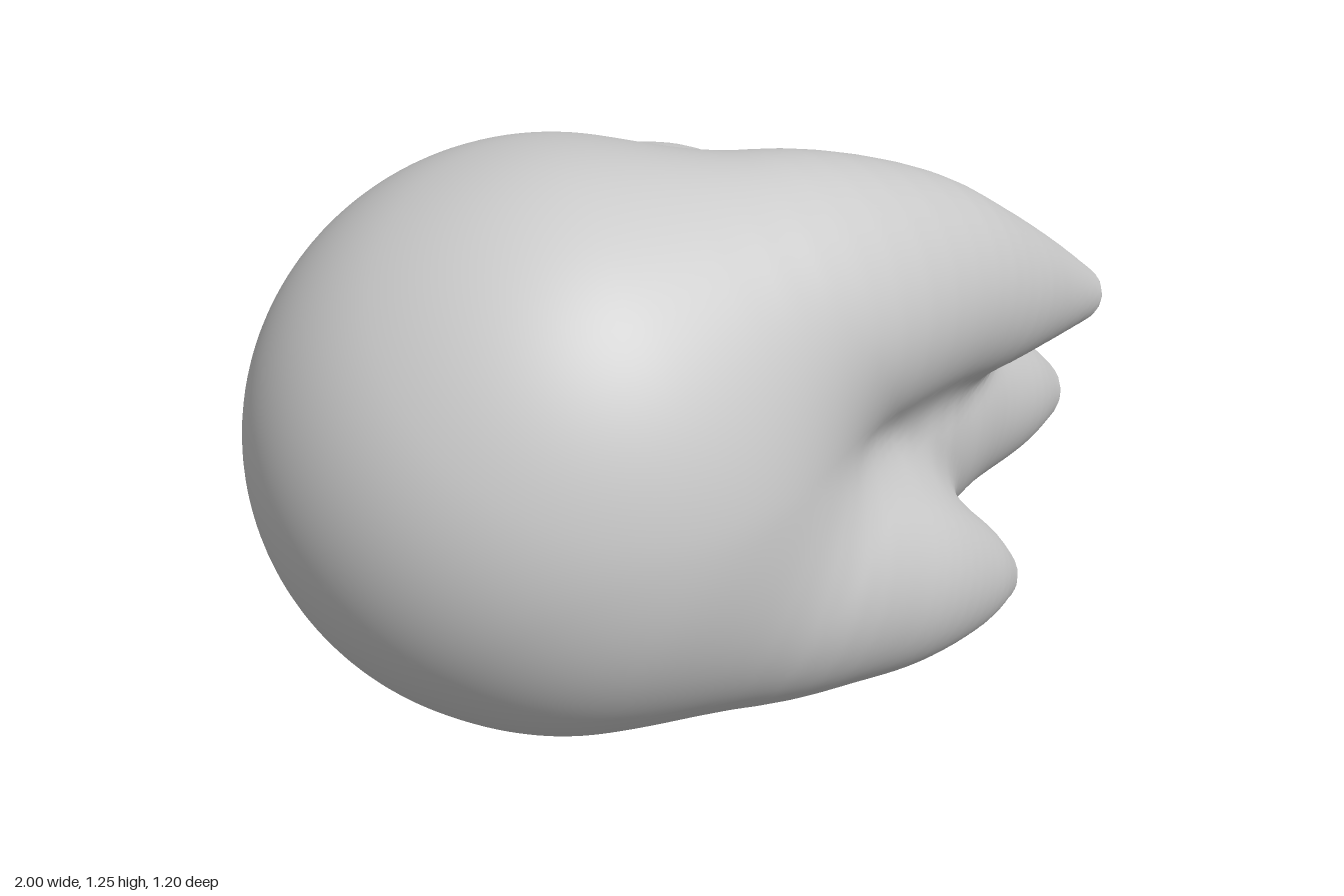
import * as THREE from 'three';

// Each tail: centre x, y, z and radius from the root inside the head to the tip
const TAILS = {
  upperTail: [[-0.45, 0.85, 0.16, 0.37], [-0.2, 0.915, 0.185, 0.305], [0, 0.91, 0.16, 0.275], [0.25, 0.86, 0.095, 0.225], [0.45, 0.785, 0.035, 0.177], [0.66, 0.7, -0.045, 0.12], [0.845, 0.625, -0.107, 0.062]],
  middleTail: [[-0.4, 0.65, 0, 0.43], [0, 0.57, -0.055, 0.38], [0.25, 0.49, -0.125, 0.305], [0.5, 0.415, -0.215, 0.225], [0.75, 0.33, -0.3, 0.153], [0.915, 0.272, -0.35, 0.084]],
  backTail: [[-0.38, 0.77, -0.11, 0.37], [-0.15, 0.785, -0.245, 0.3], [0, 0.795, -0.34, 0.235], [0.2, 0.745, -0.45, 0.153], [0.36, 0.665, -0.53, 0.066]],
  lowerFrontTail: [[-0.45, 0.6, 0.18, 0.36], [-0.2, 0.49, 0.265, 0.28], [0, 0.41, 0.268, 0.228], [0.14, 0.35, 0.258, 0.188], [0.3, 0.28, 0.23, 0.128], [0.42, 0.225, 0.203, 0.068]],
  lowerBackTail: [[-0.4, 0.46, -0.1, 0.3], [-0.15, 0.315, -0.19, 0.258], [0.05, 0.232, -0.275, 0.212], [0.32, 0.13, -0.38, 0.13], [0.56, 0.067, -0.44, 0.061]],
};
const HEAD = { c: [-0.45, 0.715, 0.055], r: [0.55, 0.535, 0.545] };
const BLEND = 0.075;

// Smooth chain of spheres through a tail's stations
function tailChain(stations, steps = 20) {
  const line = (f) => new THREE.CatmullRomCurve3(stations.map(f), false, 'catmullrom', 0.5);
  const path = line((s) => new THREE.Vector3(s[0], s[1], s[2]));
  const radius = line((s) => new THREE.Vector3(s[3], 0, 0));
  return Array.from({ length: steps + 1 }, (_, i) => {
    const p = path.getPoint(i / steps);
    return [p.x, p.y, p.z, radius.getPoint(i / steps).x];
  });
}

// Distance to the cones that join neighbouring spheres
function chainDistance(chain, x, y, z) {
  let best = Infinity;
  for (let i = 0; i + 1 < chain.length; i++) {
    const a = chain[i], b = chain[i + 1];
    const dx = b[0] - a[0], dy = b[1] - a[1], dz = b[2] - a[2];
    const px = x - a[0], py = y - a[1], pz = z - a[2];
    const length = Math.sqrt(dx * dx + dy * dy + dz * dz);
    const along = (px * dx + py * dy + pz * dz) / length;
    const across = Math.sqrt(Math.max(0, px * px + py * py + pz * pz - along * along));
    const slope = Math.min(0.95, (a[3] - b[3]) / length);
    const foot = along - (across * slope) / Math.sqrt(1 - slope * slope);
    const s = Math.min(length, Math.max(0, foot));
    const gap = along - s;
    best = Math.min(best, Math.sqrt(across * across + gap * gap) - a[3] + (s / length) * (a[3] - b[3]));
  }
  return best;
}

function headDistance(x, y, z) {
  const { c, r } = HEAD;
  const u = [(x - c[0]) / r[0], (y - c[1]) / r[1], (z - c[2]) / r[2]];
  const k0 = Math.hypot(...u);
  const k1 = Math.hypot(u[0] / r[0], u[1] / r[1], u[2] / r[2]);
  return k1 < 1e-6 ? -0.5 : (k0 * (k0 - 1)) / k1;
}

function smoothMin(a, b) {
  const h = Math.max(BLEND - Math.abs(a - b), 0) / BLEND;
  return Math.min(a, b) - h * h * BLEND * 0.25;
}

// Skins a distance field with a grid of quads
function skin(field, min, max, step) {
  const n = min.map((m, i) => Math.ceil((max[i] - m) / step) + 1);
  const stride = [1, n[0], n[0] * n[1]];
  const values = new Float32Array(n[0] * n[1] * n[2]);
  const each = (lo, hi, fn) => {
    for (let k = lo; k < n[2] - hi; k++)
      for (let j = lo; j < n[1] - hi; j++)
        for (let i = lo; i < n[0] - hi; i++) fn([i, j, k], i + j * stride[1] + k * stride[2]);
  };
  each(0, 0, (g, id) => { values[id] = field(...g.map((v, a) => min[a] + v * step)); });

  const gradient = (p) => {
    const e = 0.012;
    return new THREE.Vector3(
      field(p.x + e, p.y, p.z) - field(p.x - e, p.y, p.z),
      field(p.x, p.y + e, p.z) - field(p.x, p.y - e, p.z),
      field(p.x, p.y, p.z + e) - field(p.x, p.y, p.z - e)).normalize();
  };

  // One vertex in every cell the surface crosses, pulled onto the surface
  const positions = [], normals = [], index = [];
  const vertexOf = new Int32Array(values.length).fill(-1);
  each(0, 1, (g, id) => {
    const sum = new THREE.Vector3();
    let count = 0;
    for (let corner = 0; corner < 8; corner++) {
      for (let a = 0; a < 3; a++) {
        if (corner & (1 << a)) continue;
        const o = [corner & 1, (corner >> 1) & 1, corner >> 2];
        const at = id + o[0] + o[1] * stride[1] + o[2] * stride[2];
        const v0 = values[at], v1 = values[at + stride[a]];
        if ((v0 < 0) === (v1 < 0)) continue;
        o[a] += v0 / (v0 - v1);
        sum.add(new THREE.Vector3(...o));
        count++;
      }
    }
    if (!count) return;
    const p = sum.divideScalar(count).add(new THREE.Vector3(...g)).multiplyScalar(step).add(new THREE.Vector3(...min));
    p.addScaledVector(gradient(p), -field(p.x, p.y, p.z) * 0.8);
    vertexOf[id] = positions.length / 3;
    positions.push(p.x, p.y, p.z);
    normals.push(...gradient(p).toArray());
  });

  // One quad around every grid edge the surface crosses
  each(1, 1, (g, id) => {
    for (let a = 0; a < 3; a++) {
      const inside = values[id] < 0;
      if (inside === (values[id + stride[a]] < 0)) continue;
      const u = stride[(a + 1) % 3], v = stride[(a + 2) % 3];
      const q = [id - u - v, id - v, id, id - u].map((c) => vertexOf[c]);
      if (!inside) q.reverse();
      index.push(q[0], q[1], q[2], q[0], q[2], q[3]);
    }
  });

  const geometry = new THREE.BufferGeometry();
  geometry.setAttribute('position', new THREE.Float32BufferAttribute(positions, 3));
  geometry.setAttribute('normal', new THREE.Float32BufferAttribute(normals, 3));
  geometry.setIndex(index);
  return geometry;
}

export function createModel() {
  // Round head melted together with its five swept-back tails
  const chains = Object.values(TAILS).map((s) => tailChain(s));
  const field = (x, y, z) =>
    chains.reduce((d, chain) => smoothMin(d, chainDistance(chain, x, y, z)), headDistance(x, y, z));

  const geometry = skin(field, [-1.1, -0.1, -0.72], [1.1, 1.36, 0.72], 0.023);
  const body = new THREE.Mesh(geometry, new THREE.MeshStandardMaterial({ color: 0xcccccc }));
  body.name = 'headWithTails';

  const model = new THREE.Group();
  model.name = 'flameBody';
  model.add(body);
  return model;
}
